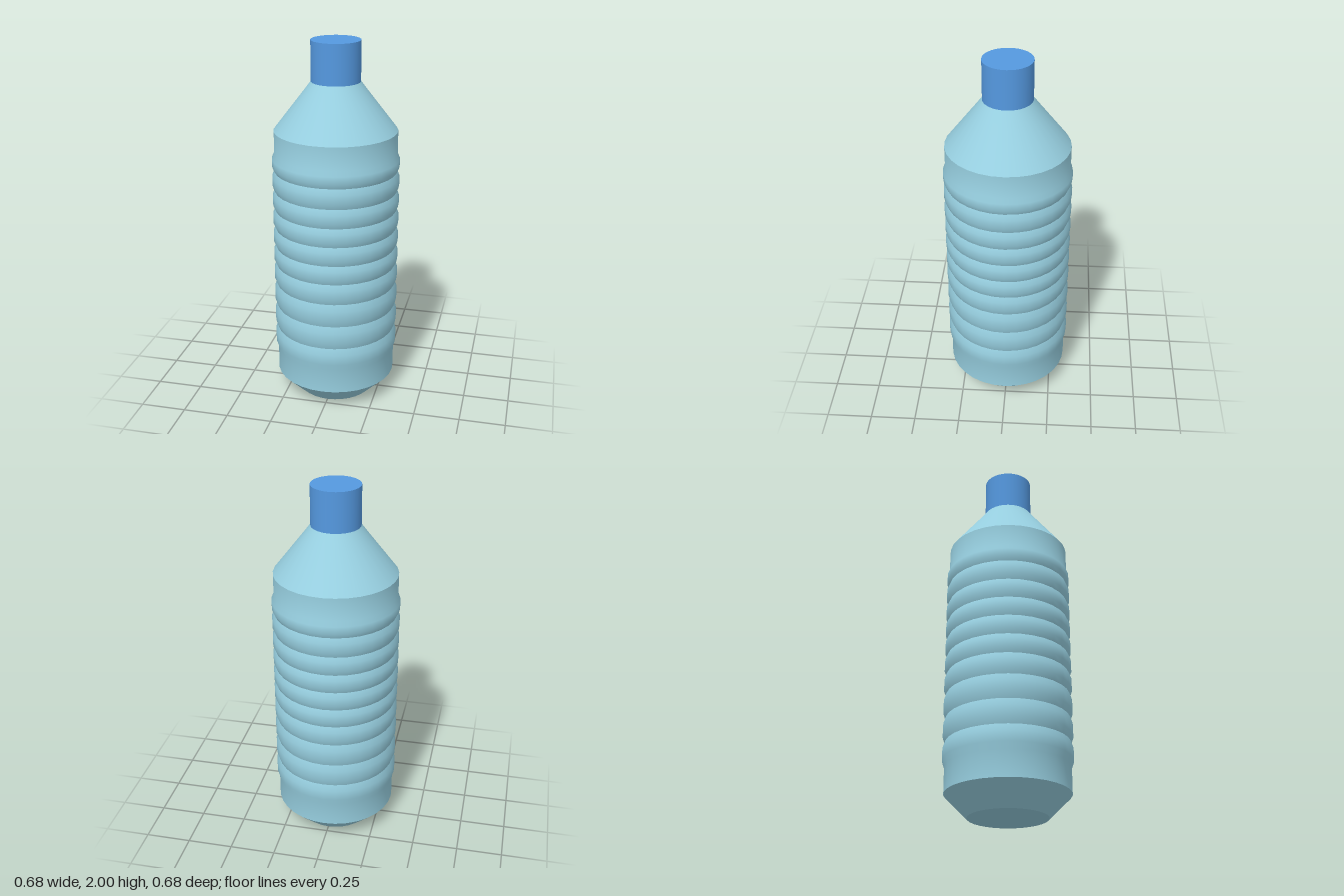
import * as THREE from 'three';
import { toCreasedNormals } from 'three/addons/utils/BufferGeometryUtils.js';

const SIDES = 32;

export function createModel() {
  const group = new THREE.Group();
  const bodyMaterial = new THREE.MeshStandardMaterial({ color: 0x97cfe0 });
  const capMaterial = new THREE.MeshStandardMaterial({ color: 0x5599e0 });

  // Bottle profile: closed base, chamfer and straight lower wall
  const wall = 0.33, rib = 0.342;
  const profile = [[0, 0], [0.21, 0], [wall, 0.12], [wall, 0.26]];

  // Stacked ribs, each bulging out between two grooves
  const grooves = [0.26, 0.39, 0.523, 0.655, 0.771, 0.877, 0.983, 1.088, 1.194, 1.305, 1.4];
  for (let i = 0; i < grooves.length - 1; i++) {
    const y0 = grooves[i], h = grooves[i + 1] - y0;
    profile.push([rib, y0 + h * 0.28], [rib, y0 + h * 0.72], [wall, y0 + h]);
  }

  // Upper wall, sloping shoulder and neck
  profile.push([wall, 1.525], [0.166, 1.738], [0.131, 1.785]);

  const lathe = new THREE.LatheGeometry(profile.map(([r, y]) => new THREE.Vector2(r, y)), SIDES);
  const body = new THREE.Mesh(toCreasedNormals(lathe, 0.6), bodyMaterial);
  body.name = 'bottleBody';
  group.add(body);

  // Screw cap
  const cap = new THREE.Mesh(new THREE.CylinderGeometry(0.131, 0.131, 0.215, SIDES), capMaterial);
  cap.name = 'cap';
  cap.position.y = 1.8925;
  group.add(cap);

  return group;
}
